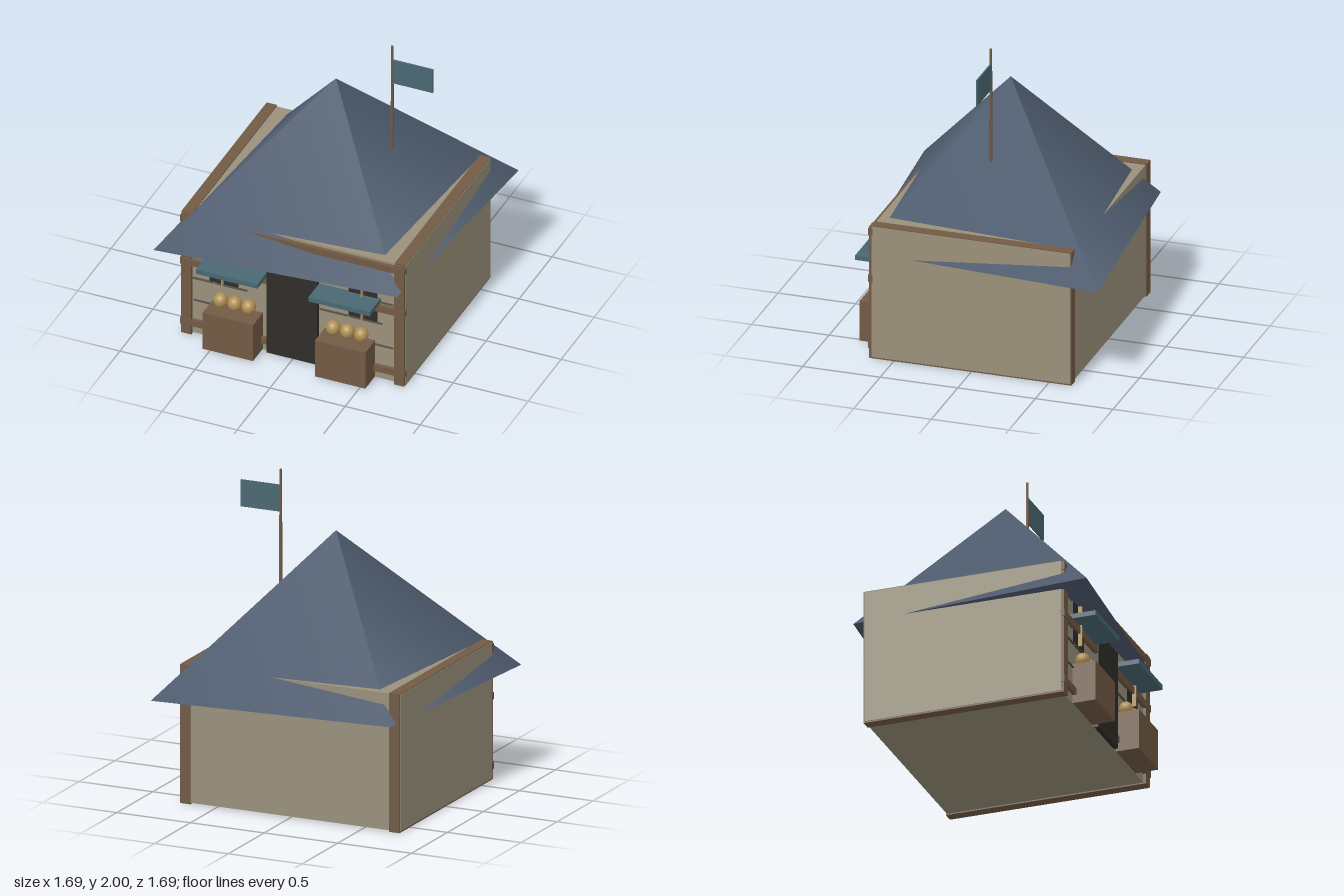
import * as THREE from 'three';

const mat = (color, extra = {}) => new THREE.MeshStandardMaterial({ color, ...extra });
const WALL = mat(0x9a917b), WOOD = mat(0x725a45), DARK = mat(0x2f2d29), ROOF = mat(0x4f5d70),
  CLOTH = mat(0x4a6872), GOLD = mat(0xb09055), IRON = mat(0x55524c);

export function createModel() {
  const model = new THREE.Group();

  const add = (name, geometry, material, x = 0, y = 0, z = 0) => {
    const mesh = new THREE.Mesh(geometry, material);
    mesh.name = name;
    mesh.position.set(x, y, z);
    model.add(mesh);
    return mesh;
  };
  // Box given by its lower and upper bounds on each axis
  const box = (name, material, [x0, x1], [y0, y1], [z0, z1]) =>
    add(name, new THREE.BoxGeometry(x1 - x0, y1 - y0, z1 - z0), material,
      (x0 + x1) / 2, (y0 + y1) / 2, (z0 + z1) / 2);
  // The same box on the left and on the right
  const pair = (name, material, [x0, x1], y, z) => {
    box(name + 'Left', material, [x0, x1], y, z);
    box(name + 'Right', material, [-x1, -x0], y, z);
  };

  // Walls, with timber side frames faced by plaster panels
  box('walls', WALL, [-0.7, 0.7], [0.008, 0.877], [-0.638, 0.64]);
  pair('sideFrame', WOOD, [0.675, 0.745], [0, 0.883], [-0.645, 0.645]);
  pair('sidePanel', WALL, [0.74, 0.748], [0.01, 0.878], [-0.638, 0.642]);
  pair('frontPost', WOOD, [0.675, 0.742], [0, 0.875], [0.63, 0.66]);

  // Horizontal timbers across the front
  for (const y of [0.088, 0.53, 0.84])
    box('frontBeam', WOOD, [-0.748, 0.748], [y - 0.022, y + 0.022], [0.635, 0.665]);

  // Door, windows and window bars
  box('door', DARK, [-0.168, 0.168], [0.012, 0.65], [0.63, 0.67]);
  pair('window', DARK, [0.37, 0.557], [0.42, 0.74], [0.63, 0.65]);
  pair('windowBar', GOLD, [0.46, 0.47], [0.425, 0.74], [0.64, 0.675]);

  // Thin courses on the plaster
  pair('upperCourse', IRON, [0.56, 0.665], [0.564, 0.572], [0.635, 0.65]);
  pair('lowerCourse', IRON, [0.5, 0.665], [0.247, 0.255], [0.635, 0.65]);
  for (const [x0, x1] of [[-0.7, -0.53], [-0.52, -0.31], [0.17, 0.36], [0.37, 0.59]])
    box('middleCourse', IRON, [x0, x1], [0.408, 0.416], [0.635, 0.652]);

  // Stalls: awning, counter and round goods
  pair('awning', CLOTH, [0.17, 0.58], [0.563, 0.594], [0.635, 0.805]);
  pair('counter', WOOD, [0.206, 0.542], [0.012, 0.275], [0.63, 0.79]);
  const ball = new THREE.SphereGeometry(0.045, 16, 12).scale(1, 1.08, 1);
  for (const x of [-0.47, -0.376, -0.283, 0.28, 0.374, 0.467])
    add('goods', ball, GOLD, x, 0.322, 0.68);

  // Four-sided roof, longer along one diagonal
  const roof = new THREE.ConeGeometry(1, 0.97, 4).scale(1.02, 1, 1.195).rotateY(-Math.PI / 4);
  add('roof', roof, ROOF, 0, 1.175, 0);

  // Flag on its pole
  add('flagPole', new THREE.CylinderGeometry(0.008, 0.012, 0.75, 8), WOOD, 0.375, 1.625, 0);
  box('flag', CLOTH, [0.38, 0.646], [1.73, 1.9], [-0.005, 0.005]);

  return model;
}
